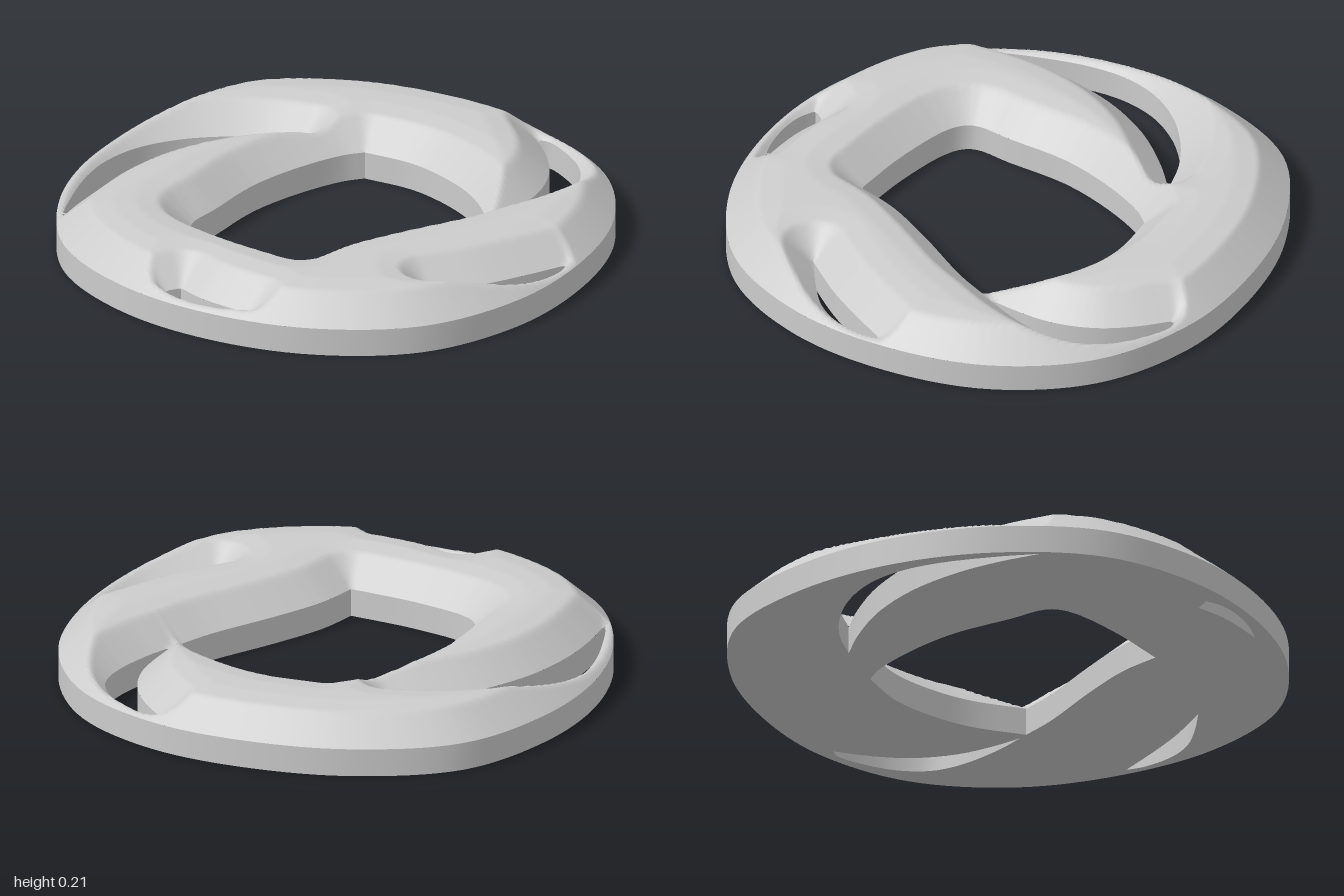
import * as THREE from 'three';
import { toCreasedNormals, mergeVertices } from 'three/addons/utils/BufferGeometryUtils.js';

const RIM = 0.1; // height of the upright walls
const STEP = 0.0125; // grid spacing of the bevelled top

// Each hole is a closed ring of smooth arcs [x, z, x, z, ...] that meet at sharp corners
const HOLES = {
  centre: [
    [0.24, -0.415, 0.16, -0.415, -0.02, -0.365, -0.21, -0.275, -0.395, -0.13, -0.51, -0.04, -0.52, 0.035, -0.42, 0.24, -0.27, 0.45],
    [-0.27, 0.45, -0.13, 0.385, 0.08, 0.335, 0.345, 0.29, 0.48, 0.25],
    [0.48, 0.25, 0.485, 0.05, 0.45, -0.105, 0.37, -0.275, 0.24, -0.415],
  ],
  backCrescent: [
    [-0.93, -0.22, -0.86, -0.345, -0.74, -0.52, -0.63, -0.625, -0.5, -0.69, -0.34, -0.71, -0.18, -0.685, -0.05, -0.635, 0.065, -0.56],
    [0.065, -0.56, -0.08, -0.58, -0.29, -0.58, -0.5, -0.53, -0.685, -0.435, -0.82, -0.33, -0.93, -0.22],
  ],
  leftCrescent: [
    [0.515, 0.24, 0.61, 0.175, 0.715, 0.08, 0.795, -0.05, 0.83, -0.185, 0.84, -0.33],
    [0.84, -0.33, 0.875, -0.3, 0.905, -0.185, 0.91, -0.07, 0.875, 0.04, 0.795, 0.12, 0.64, 0.2, 0.515, 0.24],
  ],
  frontCrescent: [
    [0.11, 0.75, 0.295, 0.74, 0.45, 0.715, 0.63, 0.675],
    [0.63, 0.675, 0.585, 0.725, 0.48, 0.785, 0.37, 0.805, 0.24, 0.785, 0.11, 0.75],
  ],
  rightSlit: [
    [-0.765, 0.455, -0.705, 0.45],
    [-0.705, 0.45, -0.66, 0.555, -0.565, 0.69, -0.54, 0.72],
    [-0.54, 0.72, -0.63, 0.66, -0.71, 0.58, -0.75, 0.515, -0.765, 0.455],
  ],
};

// Outer radius every 22.5 degrees, from +x towards +z
const RADII = [0.98, 0.97, 0.955, 0.975, 1, 0.975, 0.955, 0.965, 0.985, 0.96, 0.95, 0.965, 1, 0.96, 0.935, 0.955];

const flat = (v) => new THREE.Vector2(v.x, v.z);

function outerLoop() {
  const pts = RADII.map((r, i) => {
    const a = (i * Math.PI) / 8;
    return new THREE.Vector3(r * Math.cos(a), 0, r * Math.sin(a));
  });
  return new THREE.CatmullRomCurve3(pts, true).getPoints(128).slice(0, -1).map(flat);
}

function holeLoop(arcs) {
  return arcs.flatMap((arc) => {
    const pts = [];
    for (let i = 0; i < arc.length; i += 2) pts.push(new THREE.Vector3(arc[i], 0, arc[i + 1]));
    const n = (pts.length - 1) * 4;
    return new THREE.CatmullRomCurve3(pts).getPoints(n).slice(0, -1).map(flat);
  });
}

// Signed distance to the nearest edge, positive inside the solid
function edgeDistance(loops, x, z) {
  let best = Infinity, inside = false;
  for (const loop of loops) {
    for (let i = 0, j = loop.length - 1; i < loop.length; j = i++) {
      const a = loop[j], b = loop[i];
      const ex = b.x - a.x, ez = b.y - a.y;
      const t = Math.max(0, Math.min(1, ((x - a.x) * ex + (z - a.y) * ez) / (ex * ex + ez * ez || 1)));
      best = Math.min(best, (a.x + t * ex - x) ** 2 + (a.y + t * ez - z) ** 2);
      if (a.y > z !== b.y > z && x < a.x + ((z - a.y) / ez) * ex) inside = !inside;
    }
  }
  return Math.sqrt(best) * (inside ? 1 : -1);
}

// Steep bevel that eases into a flat top
function heightAt(d) {
  if (d < 0.11) return RIM + 0.9 * Math.max(0, d);
  return 0.199 + 0.011 * Math.min(1, (d - 0.11) / 0.08);
}

function geometryFrom(positions) {
  const g = new THREE.BufferGeometry();
  g.setAttribute('position', new THREE.Float32BufferAttribute(positions, 3));
  return g;
}

// Grid over the disc, with every cell clipped to the solid
function topGeometry(loops) {
  const n = Math.ceil(2.05 / STEP), start = (-n * STEP) / 2;
  const grid = [];
  for (let i = 0; i <= n; i++) {
    grid.push([]);
    for (let j = 0; j <= n; j++) {
      const x = start + i * STEP, z = start + j * STEP;
      grid[i].push({ x, z, d: edgeDistance(loops, x, z) });
    }
  }
  const out = [];
  for (let i = 0; i < n; i++) {
    for (let j = 0; j < n; j++) {
      const cell = [grid[i][j], grid[i][j + 1], grid[i + 1][j + 1], grid[i + 1][j]];
      const poly = [];
      cell.forEach((a, k) => {
        const b = cell[(k + 1) % 4];
        if (a.d > 0) poly.push(a);
        if (a.d > 0 !== b.d > 0) {
          const t = a.d / (a.d - b.d);
          poly.push({ x: a.x + t * (b.x - a.x), z: a.z + t * (b.z - a.z), d: 0 });
        }
      });
      for (let k = 1; k + 1 < poly.length; k++) {
        for (const p of [poly[0], poly[k], poly[k + 1]]) out.push(p.x, heightAt(p.d), p.z);
      }
    }
  }
  const g = mergeVertices(geometryFrom(out), 1e-5);
  g.computeVertexNormals();
  return g;
}

// Upright band along a loop, facing away from the solid
function wallGeometry(loop, isHole) {
  const pts = THREE.ShapeUtils.isClockWise(loop) === isHole ? [...loop].reverse() : loop;
  const out = [];
  pts.forEach((a, i) => {
    const b = pts[(i + 1) % pts.length];
    out.push(a.x, 0, a.y, b.x, 0, b.y, b.x, RIM, b.y);
    out.push(a.x, 0, a.y, b.x, RIM, b.y, a.x, RIM, a.y);
  });
  return toCreasedNormals(geometryFrom(out), 0.6);
}

export function createModel() {
  const group = new THREE.Group();
  group.name = 'swirlRing';
  const grey = new THREE.MeshStandardMaterial({ color: 0xcccccc });
  grey.name = 'light grey';
  const add = (name, geometry) => {
    const mesh = new THREE.Mesh(geometry, grey);
    mesh.name = name;
    group.add(mesh);
  };

  const outer = outerLoop();
  const holes = Object.entries(HOLES).map(([name, arcs]) => ({ name, loop: holeLoop(arcs) }));

  // Bevelled upper surface
  add('bevelledTop', topGeometry([outer, ...holes.map((h) => h.loop)]));

  // Upright walls
  add('outerWall', wallGeometry(outer, false));
  for (const { name, loop } of holes) add(name + 'Wall', wallGeometry(loop, true));

  // Flat underside
  const shape = new THREE.Shape(outer);
  shape.holes = holes.map((h) => new THREE.Path(h.loop));
  add('underside', new THREE.ShapeGeometry(shape).rotateX(Math.PI / 2));

  return group;
}
